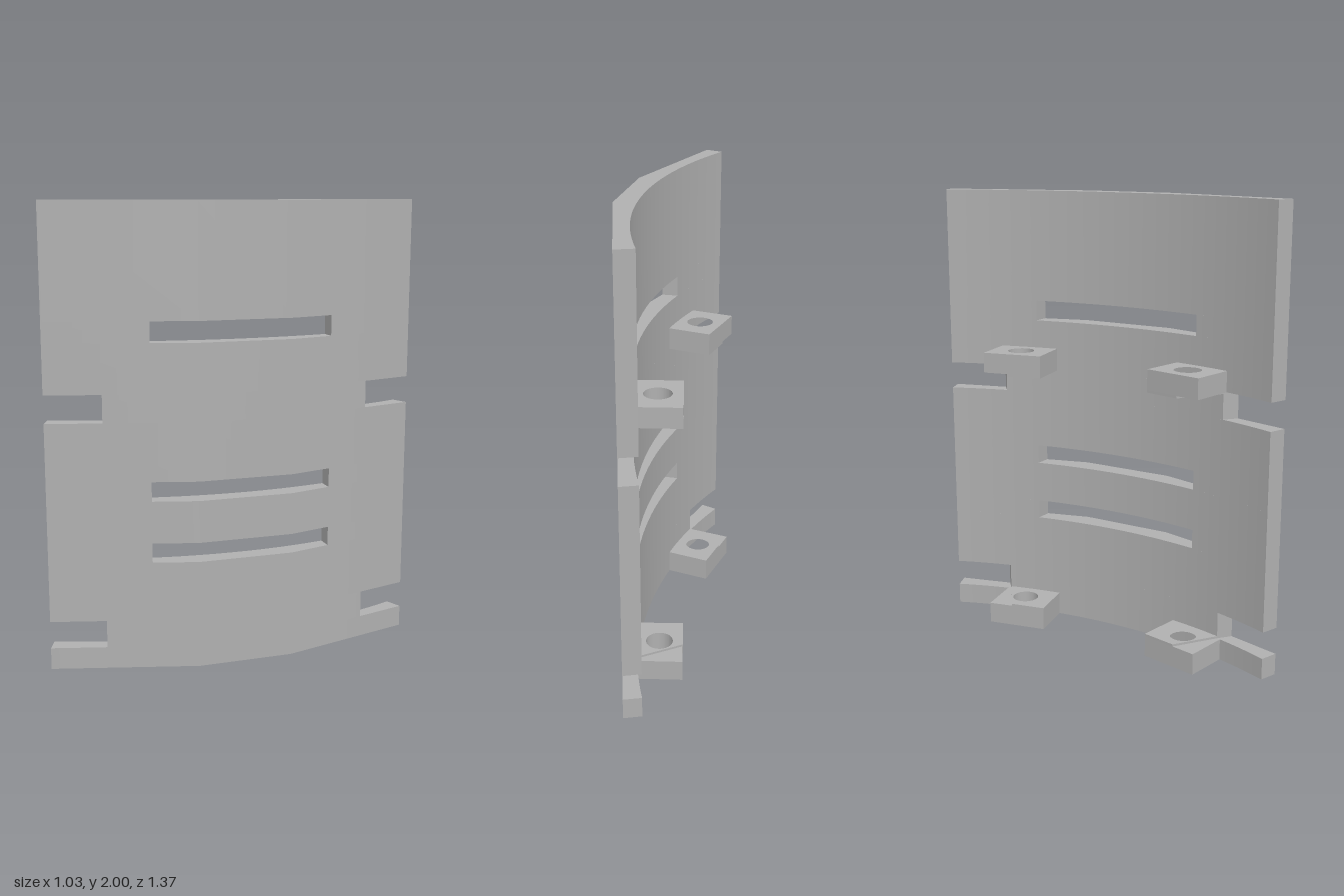
import * as THREE from 'three';
import { mergeGeometries } from 'three/addons/utils/BufferGeometryUtils.js';

// Local frame: x runs along the plate's chord, z points out of its convex face.
const R = 2.1, RISE = 0.16;          // inner arc radius and height over the chord
const BEND = 0.212, OUT = 0.245;     // bend lines of the three-facet outer face
const SLOPE = 0.274;

const innerZ = x => Math.sqrt(R * R - x * x) - R + RISE;
const outerZ = x => OUT - SLOPE * Math.max(0, Math.abs(x) - BEND);

// Extrude a plan outline of [x, z] points upward from y0 to y1
function prism(points, y0, y1, hole) {
  const shape = new THREE.Shape(points.map(([x, z]) => new THREE.Vector2(x, -z)));
  if (hole) {
    const path = new THREE.Path();
    path.absarc(hole[0], -hole[1], hole[2], 0, Math.PI * 2, true);
    shape.holes.push(path);
  }
  const geo = new THREE.ExtrudeGeometry(shape, { depth: y1 - y0, bevelEnabled: false, curveSegments: 32 });
  geo.rotateX(-Math.PI / 2).translate(0, y0, 0);
  return geo;
}

// One horizontal band of the plate; a and b are [outer x, inner x] of its two ends
function band(a, b, y0, y1) {
  const xs = [a[0], -BEND, BEND, b[0]].filter(x => x >= a[0] && x <= b[0]);
  const pts = xs.map(x => [x, outerZ(x)]);
  const n = Math.max(4, Math.ceil((b[1] - a[1]) / 0.06));
  for (let i = 0; i <= n; i++) {
    const x = b[1] + (a[1] - b[1]) * i / n;
    pts.push([x, innerZ(x)]);
  }
  const geo = prism(pts, y0, y1);
  // Smooth normals across the two curved faces
  const p = geo.attributes.position, nrm = geo.attributes.normal;
  for (let i = 0; i < p.count; i++) {
    const x = p.getX(i), nz = nrm.getZ(i);
    if (nz > 0.85) {
      const ax = Math.abs(x);
      const t = ax < BEND ? 0.134 * ax / BEND : 0.134 + 0.134 * (ax - BEND) / (0.834 - BEND);
      nrm.setXYZ(i, Math.sign(x) * Math.sin(t), 0, Math.cos(t));
    } else if (nz < -0.85) {
      const t = Math.asin(x / R);
      nrm.setXYZ(i, -Math.sin(t), 0, -Math.cos(t));
    }
  }
  return geo;
}

export function createModel() {
  const grey = new THREE.MeshStandardMaterial({ color: 0xb0b0b0 });
  grey.name = 'plain grey';
  const model = new THREE.Group();
  model.name = 'curvedBracketPlate';
  const body = new THREE.Group();
  body.name = 'plateAssembly';
  body.rotation.y = 0.94;
  body.position.set(-0.04, 0, -0.04);
  model.add(body);

  // Curved plate: bands that are full width, notched at the ends or slotted
  const END = [0.834, 0.805], NOTCH = [0.599, 0.554], SLOT = [0.405, 0.405];
  const neg = e => e.map(v => -v);
  const levels = [0, 0.095, 0.215, 0.475, 0.56, 0.745, 0.83, 1.085, 1.205, 1.42, 1.51, 2];
  const kinds = ['full', 'notch', 'full', 'slot', 'full', 'slot', 'full', 'notch', 'full', 'slot', 'full'];
  const bands = [];
  kinds.forEach((kind, i) => {
    const y0 = levels[i], y1 = levels[i + 1];
    if (kind === 'full') bands.push(band(neg(END), END, y0, y1));
    if (kind === 'notch') bands.push(band(neg(NOTCH), NOTCH, y0, y1));
    if (kind === 'slot') bands.push(band(neg(END), neg(SLOT), y0, y1), band(SLOT, END, y0, y1));
  });
  const plate = new THREE.Mesh(mergeGeometries(bands), grey);
  plate.name = 'curvedPlate';
  body.add(plate);

  // Four drilled lugs; the 0.01 layer facing each notch is trimmed by the notch's end plane
  const lug = [[-0.571, 0.089], [-0.534, -0.112], [-0.27, -0.056], [-0.309, 0.144]];
  const trimmed = [[-0.559, 0.093], [-0.425, -0.089], [-0.27, -0.056], [-0.309, 0.144]];
  for (const side of [1, -1]) {
    const flip = pts => pts.map(([x, z]) => [x * side, z]);
    const hole = [-0.421 * side, 0.017, 0.059];
    const parts = [
      ['lowerLug', [0, 0.095], [0.095, 0.105]],
      ['upperLug', [1.205, 1.295], [1.195, 1.205]],
    ];
    for (const [name, block, skin] of parts) {
      const mesh = new THREE.Mesh(mergeGeometries([
        prism(flip(lug), ...block, hole),
        prism(flip(trimmed), ...skin, hole),
      ]), grey);
      mesh.name = name + (side > 0 ? 'Right' : 'Left');
      body.add(mesh);
    }
  }
  return model;
}
